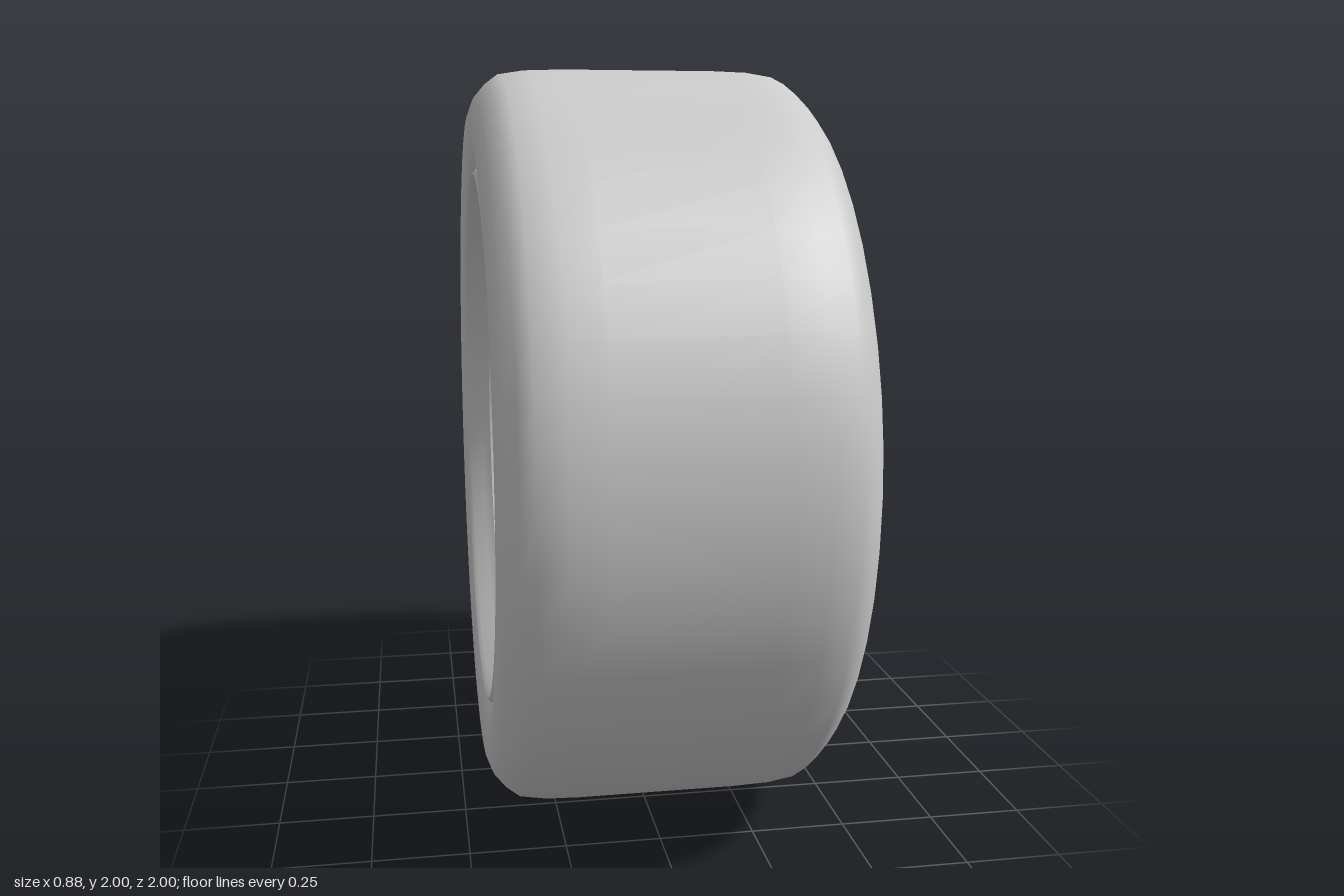
import * as THREE from 'three';
import { toCreasedNormals } from 'three/addons/utils/BufferGeometryUtils.js';

const material = new THREE.MeshStandardMaterial({ color: 0xcccccc });
const SPOKES = 5, BOLTS = 45, SIDES = 48;

// Everything is built with the axle along z, then turned to x.
function add(parent, name, geometry) {
  const mesh = new THREE.Mesh(geometry, material);
  mesh.name = name;
  parent.add(mesh);
  return mesh;
}

// Revolve [radius, depth] points about z; crease 0 keeps all normals smooth.
function revolve(points, sides = SIDES, crease = 0.6) {
  const geo = new THREE.LatheGeometry(points.map(([r, z]) => new THREE.Vector2(r, z)), sides);
  geo.rotateX(Math.PI / 2);
  return crease ? toCreasedNormals(geo, crease) : geo;
}

// Flat ring with a square section
function ring(inner, outer, back, front, sides) {
  return revolve([[inner, back], [outer, back], [outer, front], [inner, front], [inner, back]], sides);
}

function spokeAngle(i) {
  return -Math.PI / 2 + (i * 2 * Math.PI) / SPOKES;
}

// Star-shaped centre with filleted webs and a hole for each lug
function hubGeometry() {
  const shape = new THREE.Shape();
  const at = (angle, r, w) => [
    r * Math.cos(angle) - w * Math.sin(angle),
    r * Math.sin(angle) + w * Math.cos(angle),
  ];
  for (let i = 0; i < SPOKES; i++) {
    const a = spokeAngle(i), b = spokeAngle(i + 1);
    const start = at(a, 0.3, -0.094);
    if (i === 0) shape.moveTo(...start); else shape.lineTo(...start);
    shape.lineTo(...at(a, 0.3, 0.094));
    shape.bezierCurveTo(...at(a, 0.18, 0.1), ...at(b, 0.18, -0.1), ...at(b, 0.3, -0.094));
    const hole = new THREE.Path();
    hole.absarc(...at(a, 0.15, 0), 0.042, 0, Math.PI * 2, true);
    shape.holes.push(hole);
  }
  const geo = new THREE.ExtrudeGeometry(shape, { depth: 0.14, bevelEnabled: false, curveSegments: 14 });
  geo.translate(0, 0, -0.01);
  return toCreasedNormals(geo, 0.6);
}

// Spoke along +y: narrows and rises towards its tip
function spokeGeometry() {
  const geo = new THREE.BoxGeometry(2, 2, 2);
  const p = geo.attributes.position;
  for (let i = 0; i < p.count; i++) {
    const tip = p.getY(i) > 0, front = p.getZ(i) > 0;
    const halfWidth = (tip ? 0.083 : 0.102) - (front ? 0.004 : 0);
    const depth = front ? (tip ? 0.205 : 0.131) : (tip ? 0.02 : -0.005);
    p.setXYZ(i, p.getX(i) * halfWidth, tip ? 0.56 : 0.215, depth);
  }
  geo.computeVertexNormals();
  return geo;
}

export function createModel() {
  const model = new THREE.Group();
  model.name = 'wheel';

  // Tire: half section mirrored front to back
  const half = [
    [1, 0.2], [0.997, 0.29], [0.986, 0.36], [0.96, 0.395], [0.925, 0.425],
    [0.885, 0.44], [0.81, 0.438], [0.765, 0.425], [0.735, 0.4], [0.70, 0.37],
  ];
  const mirrored = half.map(([r, z]) => [r, -z]).reverse();
  add(model, 'tire', revolve([...mirrored, ...half], SIDES, 0));

  // Rim: tire side from back to front, then the dish and barrel from front to back
  add(model, 'rim', revolve([
    [0.735, -0.425], [0.735, -0.405], [0.7, -0.385], [0.695, -0.25], [0.665, -0.15],
    [0.665, 0.15], [0.69, 0.24], [0.7, 0.385], [0.735, 0.405], [0.735, 0.425],
    [0.724, 0.432], [0.712, 0.42], [0.695, 0.375], [0.688, 0.28], [0.68, 0.25],
    [0.65, 0.21], [0.643, 0.1], [0.635, 0.07], [0.612, 0.05], [0.605, 0],
    [0.615, -0.06], [0.665, -0.36], [0.69, -0.385], [0.71, -0.42], [0.724, -0.432],
    [0.735, -0.425],
  ], 64));

  // Mounting ring that carries the spokes
  add(model, 'mountingRing', revolve([
    [0.51, 0], [0.62, 0], [0.62, 0.058], [0.542, 0.058], [0.535, 0.045], [0.51, 0.04], [0.51, 0],
  ], 64));

  // Rim bolts
  const boltGeo = toCreasedNormals(new THREE.CylinderGeometry(0.017, 0.02, 0.032, 6).rotateX(Math.PI / 2), 0.5);
  const bolts = new THREE.Group();
  bolts.name = 'rimBolts';
  for (let i = 0; i < BOLTS; i++) {
    const a = Math.PI / 2 + (i * 2 * Math.PI) / BOLTS;
    const bolt = add(bolts, 'rimBolt', boltGeo);
    bolt.position.set(0.585 * Math.cos(a), 0.585 * Math.sin(a), 0.07);
    bolt.rotation.z = a;
  }
  model.add(bolts);

  // Hub with its rear pad and domed cap
  add(model, 'hub', hubGeometry());
  add(model, 'hubPad', ring(0.07, 0.105, -0.04, 0, 32));
  add(model, 'centerCap', revolve(
    [[0.086, 0.125], [0.084, 0.135], [0.06, 0.141], [0.03, 0.145], [0, 0.146]], 32));

  // Spokes, each with a lug seat and a hollow nut at its root
  const spokeGeo = spokeGeometry();
  const seatGeo = ring(0.015, 0.043, 0, 0.06, 20);
  const nutGeo = ring(0.015, 0.029, 0.055, 0.105, 6);
  for (let i = 0; i < SPOKES; i++) {
    const arm = new THREE.Group();
    arm.name = 'spokeArm';
    arm.rotation.z = spokeAngle(i) - Math.PI / 2;
    add(arm, 'spoke', spokeGeo);
    add(arm, 'lugSeat', seatGeo).position.y = 0.15;
    add(arm, 'lugNut', nutGeo).position.y = 0.15;
    model.add(arm);
  }

  // Turn the axle to x and stand the wheel on the ground
  model.rotation.y = Math.PI / 2;
  model.position.y = 1;
  const root = new THREE.Group();
  root.name = 'wheelAssembly';
  root.add(model);
  return root;
}
